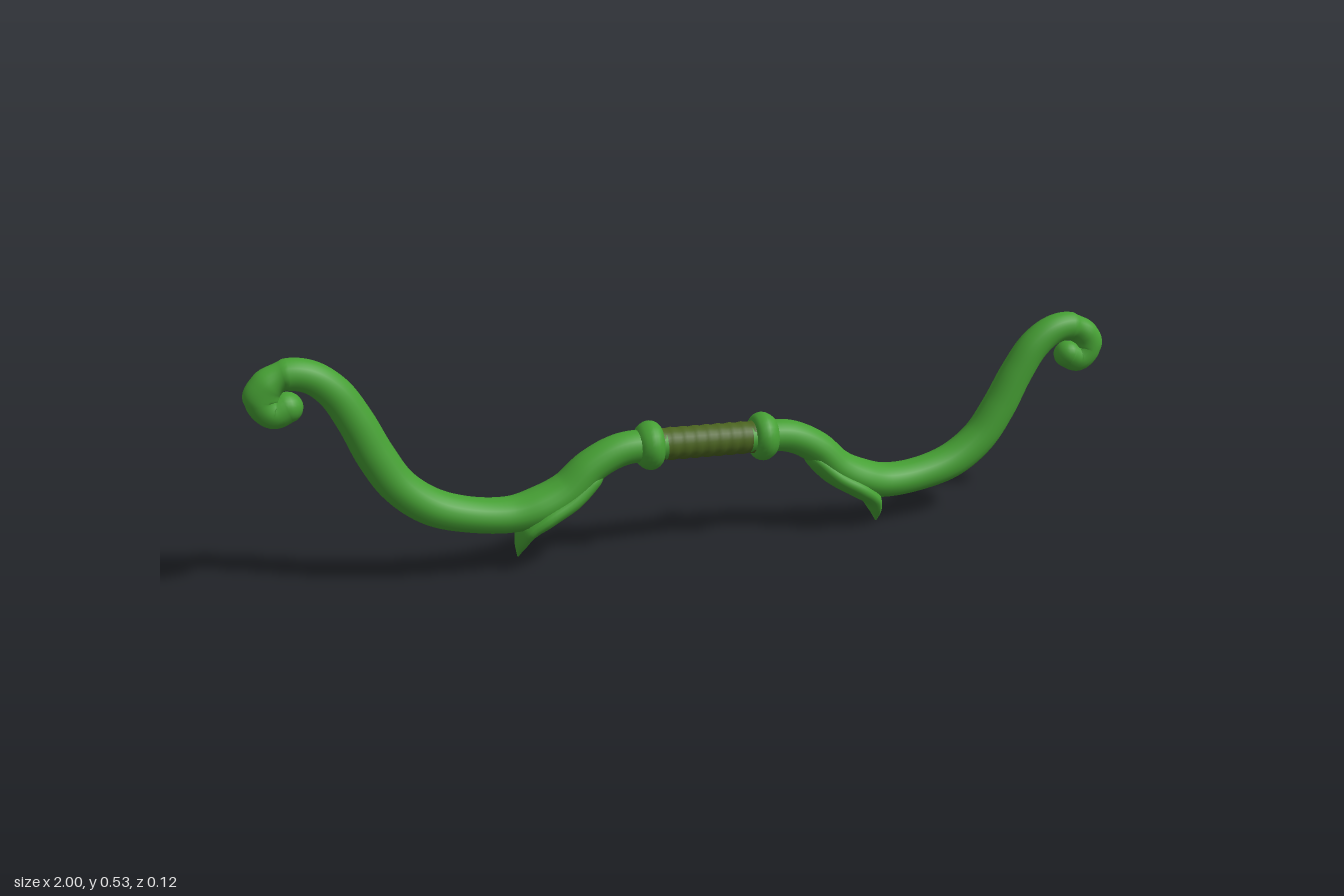
import * as THREE from 'three';

const green = new THREE.MeshStandardMaterial({ color: 0x46a034 });
green.name = 'leaf green';
const brown = new THREE.MeshStandardMaterial({ color: 0x4b6420 });
brown.name = 'olive grip';

// Sweeps an ellipse along a path in the xy plane.
// Each station is [x, y, in-plane radius, z radius]; side mirrors the path in x.
function sweep(stations, side, steps, sides = 20) {
  const path = new THREE.CatmullRomCurve3(stations.map(s => new THREE.Vector3(s[0] * side, s[1], 0)));
  const radii = new THREE.CatmullRomCurve3(stations.map(s => new THREE.Vector3(s[2], s[3], 0)));
  const pos = [], index = [];
  for (let i = 0; i <= steps; i++) {
    const p = path.getPoint(i / steps), t = path.getTangent(i / steps), r = radii.getPoint(i / steps);
    const rn = Math.max(r.x, 0.001), rz = Math.max(r.y, 0.001);
    for (let j = 0; j < sides; j++) {
      const a = (j / sides) * Math.PI * 2, c = Math.cos(a) * rn;
      pos.push(p.x - t.y * c, p.y + t.x * c, Math.sin(a) * rz);
      if (i === steps) continue;
      const k = (j + 1) % sides, a0 = i * sides + j, b0 = i * sides + k;
      index.push(a0, b0, a0 + sides, b0, b0 + sides, a0 + sides);
    }
  }
  const geo = new THREE.BufferGeometry();
  geo.setAttribute('position', new THREE.Float32BufferAttribute(pos, 3));
  geo.setIndex(index);
  geo.computeVertexNormals();
  return geo;
}

// Turned part lying along x, from [radius, x] pairs
function turned(profile) {
  const geo = new THREE.LatheGeometry(profile.map(p => new THREE.Vector2(p[0], p[1])), 28);
  return geo.rotateZ(-Math.PI / 2);
}

const limbPath = [
  [0.10, 0.000, 0.035, 0.038], [0.198, -0.004, 0.037, 0.040], [0.270, -0.038, 0.038, 0.044],
  [0.324, -0.090, 0.042, 0.050], [0.384, -0.120, 0.043, 0.054], [0.449, -0.134, 0.040, 0.049],
  [0.540, -0.126, 0.039, 0.044], [0.624, -0.099, 0.041, 0.043], [0.692, -0.046, 0.041, 0.041],
  [0.738, 0.025, 0.041, 0.039], [0.778, 0.107, 0.039, 0.037], [0.819, 0.172, 0.037, 0.036],
  [0.866, 0.208, 0.035, 0.035], [0.914, 0.215, 0.034, 0.034], [0.952, 0.195, 0.034, 0.034],
  [0.964, 0.161, 0.034, 0.034], [0.942, 0.136, 0.033, 0.034], [0.914, 0.146, 0.032, 0.033],
];

const leafPath = [
  [0.235, -0.035, 0.004, 0.012], [0.265, -0.062, 0.022, 0.040], [0.315, -0.105, 0.026, 0.056],
  [0.373, -0.138, 0.027, 0.062], [0.412, -0.168, 0.022, 0.053], [0.428, -0.202, 0.014, 0.032],
  [0.435, -0.235, 0.002, 0.002],
];

export function createModel() {
  const model = new THREE.Group();
  model.name = 'bow';
  const add = (name, geo, mat) => {
    const mesh = new THREE.Mesh(geo, mat);
    mesh.name = name;
    model.add(mesh);
    return mesh;
  };

  // Wrapped grip with shallow ridges
  const grip = [];
  for (let i = 0; i <= 40; i++) grip.push([0.0365 + 0.0012 * Math.cos(i * Math.PI / 2), -0.14 + i * 0.007]);
  add('grip', turned(grip), brown);

  for (const side of [1, -1]) {
    const label = side > 0 ? 'left' : 'right';

    // Curved limb with a curled, rounded end
    add(label + 'Limb', sweep(limbPath, side, 136), green);
    const end = limbPath[limbPath.length - 1];
    add(label + 'CurlEnd', new THREE.SphereGeometry(0.0325, 20, 14), green)
      .position.set(end[0] * side, end[1], 0);

    // Pointed leaf hugging the underside of the limb
    add(label + 'Leaf', sweep(leafPath, side, 36), green);

    // Collar between grip and limb
    const collar = turned([
      [0.034, -0.026], [0.044, -0.024], [0.051, -0.017], [0.055, -0.008], [0.056, 0],
      [0.054, 0.009], [0.049, 0.018], [0.043, 0.025], [0.034, 0.030],
    ]);
    const ring = add(label + 'Collar', collar, green);
    ring.position.x = 0.135 * side;
    if (side < 0) ring.rotation.y = Math.PI;
  }

  // The whole bow leans slightly
  model.position.set(-0.006, 0.25, 0);
  model.rotation.z = -0.032;
  const root = new THREE.Group();
  root.name = 'model';
  root.add(model);
  return root;
}
